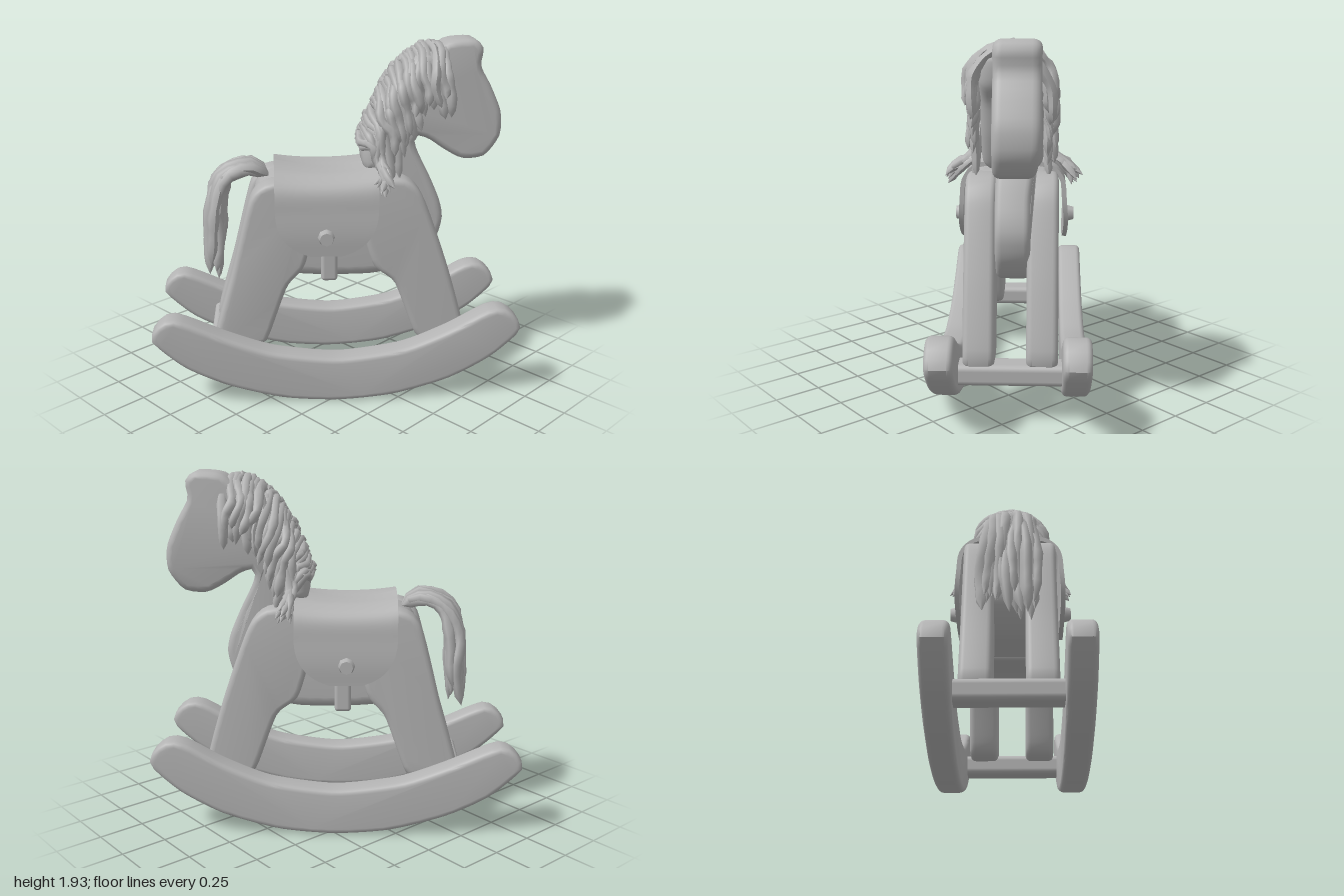
import * as THREE from 'three';
import { mergeGeometries, toCreasedNormals } from 'three/addons/utils/BufferGeometryUtils.js';
import { RoundedBoxGeometry } from 'three/addons/geometries/RoundedBoxGeometry.js';

// Local frame: x runs from tail to nose, y up, z across the horse.
export function createModel() {
  const model = new THREE.Group();
  model.name = 'rockingHorse';
  const horse = new THREE.Group();
  horse.name = 'horse';
  horse.rotation.y = 0.843;
  model.add(horse);

  const grey = new THREE.MeshStandardMaterial({ color: 0xb4b4b4 });
  grey.name = 'plainGrey';

  let seed = 7;
  const rand = () => {
    seed = (seed * 16807) % 2147483647;
    return seed / 2147483647 - 0.5;
  };
  const V = (x, y, z) => new THREE.Vector3(x, y, z);

  function add(name, geometry, x = 0, y = 0, z = 0) {
    const mesh = new THREE.Mesh(geometry, grey);
    mesh.name = name;
    mesh.position.set(x, y, z);
    horse.add(mesh);
    return mesh;
  }

  // Rounded board: a smooth closed outline with soft edges, centred on z = 0
  function board(outline, half, bevel, samples = 60) {
    const curve = new THREE.CatmullRomCurve3(outline.map(([x, y]) => V(x, y, 0)), true, 'catmullrom', 0.35);
    const pts = curve.getSpacedPoints(samples).slice(0, -1).map((p) => new THREE.Vector2(p.x, p.y));
    const geo = new THREE.ExtrudeGeometry(new THREE.Shape(pts), {
      depth: 2 * (half - bevel), steps: 1,
      bevelEnabled: true, bevelSize: bevel, bevelThickness: bevel, bevelOffset: -bevel, bevelSegments: 4,
    });
    geo.translate(0, 0, bevel - half);
    return geo;
  }
  const smooth = (geo, angle = 0.75) => toCreasedNormals(geo, angle);

  // Rockers
  const rocker = smooth(board([
    [-1.0, 0.39], [-0.97, 0.47], [-0.9, 0.515], [-0.81, 0.49], [-0.6, 0.395], [-0.35, 0.305], [0, 0.26],
    [0.35, 0.305], [0.6, 0.405], [0.8, 0.515], [0.89, 0.53], [0.97, 0.475], [0.99, 0.39],
    [0.83, 0.24], [0.6, 0.115], [0.3, 0.03], [0, 0.005], [-0.3, 0.03], [-0.6, 0.115], [-0.83, 0.23],
  ], 0.07, 0.028, 90));
  // Legs
  const rearLeg = smooth(board([
    [-0.67, 0.34], [-0.62, 0.285], [-0.42, 0.28], [-0.375, 0.33], [-0.27, 0.62], [-0.17, 0.75],
    [-0.12, 1.05], [-0.2, 1.2], [-0.36, 1.21], [-0.46, 1.12], [-0.57, 0.7],
  ], 0.08, 0.03));
  const frontLeg = smooth(board([
    [0.71, 0.36], [0.66, 0.29], [0.48, 0.285], [0.43, 0.34], [0.32, 0.63], [0.2, 0.74],
    [0.12, 1.05], [0.18, 1.21], [0.36, 1.22], [0.465, 1.12], [0.61, 0.72],
  ], 0.08, 0.03));
  const button = new THREE.CylinderGeometry(0.036, 0.05, 0.05, 8);
  button.rotateX(Math.PI / 2);
  for (const [side, label] of [[1, 'right'], [-1, 'left']]) {
    add(label + 'Rocker', rocker, 0, 0, side * 0.33);
    add(label + 'RearLeg', rearLeg, 0, 0, side * 0.16);
    add(label + 'FrontLeg', frontLeg, 0, 0, side * 0.16);
    const b = add(label + 'SaddleButton', button, -0.06, 0.93, side * 0.305);
    if (side < 0) b.rotation.y = Math.PI;
  }

  // Cross bars between the rockers
  for (const [name, x] of [['rearBar', -0.63], ['frontBar', 0.645]]) {
    add(name, new RoundedBoxGeometry(0.14, 0.11, 0.6, 3, 0.03), x, 0.265, 0);
  }

  // Body
  add('body', smooth(board([
    [-0.46, 0.85], [-0.3, 0.7], [-0.1, 0.67], [0.2, 0.67], [0.36, 0.72], [0.45, 0.9],
    [0.4, 1.1], [0.28, 1.22], [0, 1.21], [-0.3, 1.22], [-0.43, 1.14],
  ], 0.215, 0.06)));

  // Neck and head with ear, widening and leaning slightly to the left at the head
  const headGeo = board([
    [0.36, 0.69], [0.48, 0.72], [0.57, 0.83], [0.6, 0.95], [0.58, 1.05], [0.52, 1.19], [0.46, 1.31],
    [0.435, 1.38], [0.455, 1.415], [0.52, 1.39], [0.6, 1.335], [0.7, 1.285], [0.82, 1.3], [0.9, 1.41],
    [0.9, 1.54], [0.84, 1.68], [0.78, 1.79], [0.79, 1.88], [0.74, 1.93], [0.6, 1.92], [0.5, 1.84],
    [0.3, 1.66], [0.2, 1.4], [0.15, 1.15], [0.22, 0.9],
  ], 0.09, 0.035, 100);
  const hp = headGeo.attributes.position;
  for (let i = 0; i < hp.count; i++) {
    const k = THREE.MathUtils.smoothstep(hp.getY(i), 1.1, 1.5);
    hp.setZ(i, hp.getZ(i) * (1 + 0.28 * k) - 0.008 - 0.03 * k);
  }
  add('neckAndHead', smooth(headGeo));

  // Saddle: a thin sheet bent over the back, with rounded flaps
  const path = new THREE.CatmullRomCurve3([
    V(0, 1.235, -0.01), V(0, 1.235, 0.1), V(0, 1.225, 0.2), V(0, 1.17, 0.258),
    V(0, 1.05, 0.275), V(0, 0.93, 0.282), V(0, 0.82, 0.275),
  ]);
  const saddleGeo = new THREE.BoxGeometry(1, 0.024, 2, 14, 1, 56);
  const sp = saddleGeo.attributes.position;
  for (let i = 0; i < sp.count; i++) {
    const z = sp.getZ(i), t = Math.min(1, Math.abs(z)), side = z < 0 ? -1 : 1;
    const p = path.getPointAt(t), d = path.getTangentAt(t);
    const e = Math.max(0, (t - 0.58) / 0.42);
    const u = sp.getX(i) * 2, h = sp.getY(i);
    const half = 0.275 * Math.sqrt(1 - 0.9 * e ** 2.5);
    const rise = 0.04 * u * u * Math.max(0, 1 - 1.6 * t);
    const out = t < 0.01 ? 0 : side * (p.z - d.y * h);
    sp.setXYZ(i, -0.055 + u * half, p.y + d.z * h + rise, out);
  }
  add('saddle', smooth(saddleGeo, 0.8));
  add('girthStrap', new RoundedBoxGeometry(0.09, 0.32, 0.48, 2, 0.02), -0.04, 0.815, 0);

  // One lock of hair: a wavy tube drawn to a blunt tip
  function lock(points, radius) {
    const n = 14, m = 6;
    const wavy = points.map((p, i) => (i ? p.clone().add(V(rand() * 0.035, rand() * 0.025, rand() * 0.03)) : p));
    const curve = new THREE.CatmullRomCurve3(wavy);
    const geo = new THREE.TubeGeometry(curve, n, radius, m, false);
    const pos = geo.attributes.position, v = new THREE.Vector3();
    for (let i = 0; i <= n; i++) {
      const c = curve.getPointAt(i / n);
      const k = i === n || i === 0 ? 0.02 : (0.9 + rand() * 0.35) * (i === n - 1 ? 0.85 : 1);
      for (let j = 0; j <= m; j++) {
        const id = i * (m + 1) + j;
        v.fromBufferAttribute(pos, id).sub(c).multiplyScalar(k).add(c);
        pos.setXYZ(id, v.x, v.y, v.z);
      }
    }
    geo.computeVertexNormals();
    return geo;
  }

  // Mane: solid core, hanging locks and a gathered bunch on each side
  add('maneCore', smooth(board([
    [0.56, 1.84], [0.46, 1.88], [0.32, 1.76], [0.22, 1.58], [0.15, 1.38], [0.16, 1.25],
    [0.3, 1.25], [0.4, 1.42], [0.47, 1.6], [0.55, 1.7],
  ], 0.16, 0.07)));
  const crest = new THREE.CatmullRomCurve3([
    V(0.57, 1.89, 0), V(0.49, 1.905, 0), V(0.38, 1.85, 0), V(0.28, 1.73, 0), V(0.2, 1.58, 0), V(0.13, 1.4, 0),
  ]);
  const maneLocks = [];
  for (const side of [1, -1]) {
    for (let layer = 0; layer < 2; layer++) {
      for (let i = 0; i < 15; i++) {
        const u = Math.min(1, (i + layer * 0.5) / 14);
        const p = crest.getPointAt(u);
        const w = 0.175 + layer * 0.025;
        const root = -side * (0.03 + rand() * 0.06);
        if (u < 0.66) {
          const len = (0.32 + 0.2 * u) * (layer ? 0.82 : 1) + rand() * 0.08;
          maneLocks.push(lock([
            V(p.x, p.y, root), V(p.x + 0.01, p.y - 0.03, side * 0.1), V(p.x + 0.01, p.y - 0.13, side * w),
            V(p.x + 0.02 + 0.04 * u, p.y - 0.2, side * (w + 0.01)),
            V(p.x + 0.03 + 0.08 * u, p.y - len, side * (w + 0.015)),
          ], 0.027));
        } else {
          const ex = 0.25 + rand() * 0.1;
          maneLocks.push(lock([
            V(p.x, p.y, root), V(p.x + 0.01, p.y - 0.03, side * 0.11),
            V(p.x + 0.04, p.y * 0.6 + 0.55, side * (w - 0.01)), V(0.23, 1.32, side * 0.2),
            V(0.25, 1.27, side * 0.27), V(ex, 1.2 + rand() * 0.07, side * (0.335 + rand() * 0.06)),
          ], 0.024));
        }
      }
    }
  }
  add('mane', mergeGeometries(maneLocks));

  // Tail: locks arching off the rump and falling behind the legs
  const tailLocks = [];
  for (let layer = 0; layer < 2; layer++) {
    for (let i = 0; i < 11; i++) {
      const a = (i / 10) * 2 - 1, back = layer * 0.05 * (1 - 0.5 * a * a);
      tailLocks.push(lock([
        V(-0.36, 1.2, a * 0.03), V(-0.46, 1.25 + back * 0.4, a * 0.07), V(-0.57 - back, 1.21, a * 0.1),
        V(-0.63 - back, 1.05, a * 0.12), V(-0.64 - back, 0.86, a * 0.13),
        V(-0.65 - back, 0.7 + rand() * 0.14, a * 0.135),
      ], 0.032));
    }
  }
  add('tail', mergeGeometries(tailLocks));

  return model;
}
